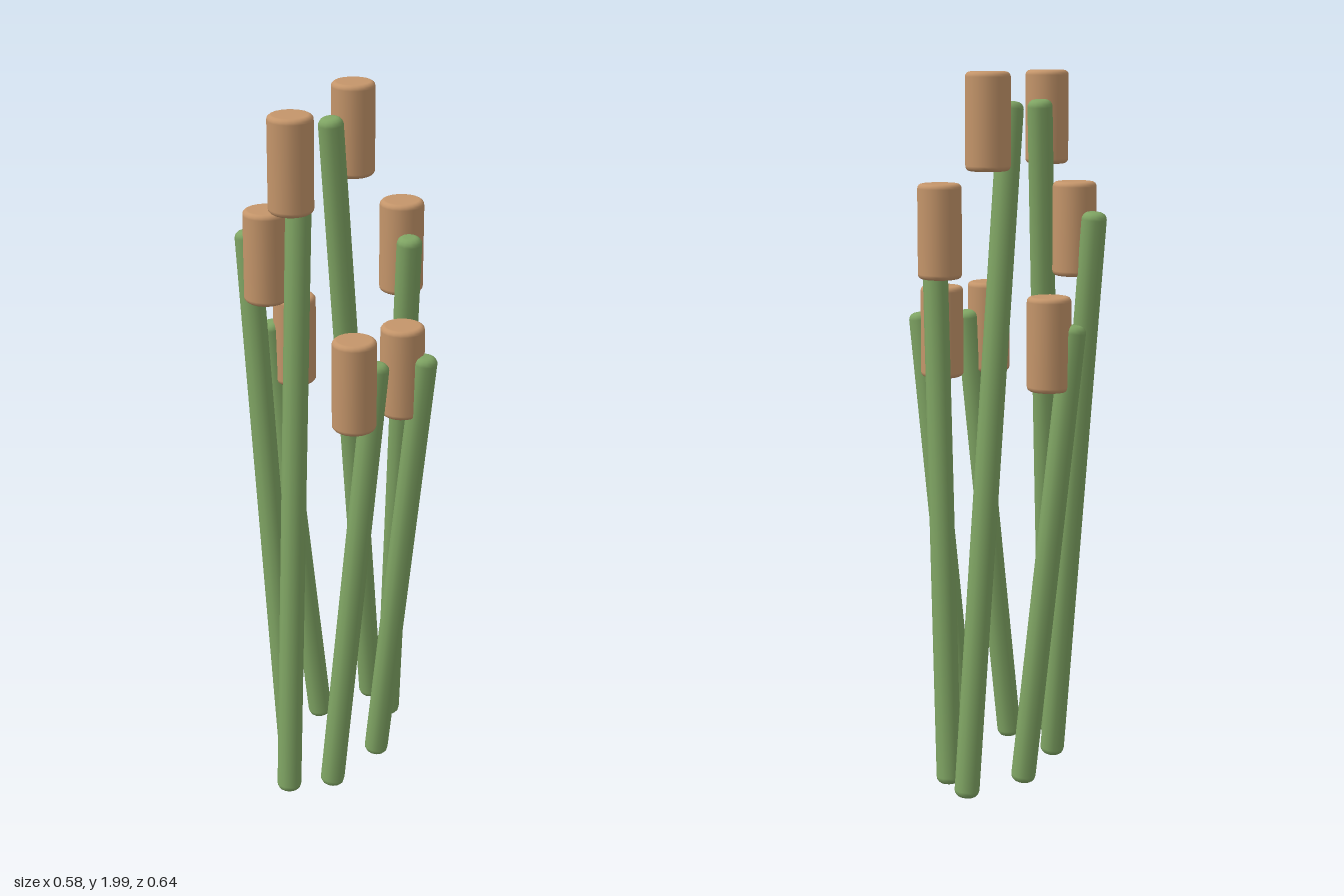
import * as THREE from 'three';

const COUNT = 7;
const RING_RADIUS = 0.195;
const RING_X = -0.008; // centres the uneven ring
const TILT = 0.104;

// Upright cylinder with softly rounded rims, centred on its origin.
function roundedCylinder(radius, height, fillet, sides) {
  const h = height / 2;
  const profile = [new THREE.Vector2(0, -h)];
  for (const end of [-1, 1]) {
    for (let k = 0; k <= 4; k++) {
      const a = (end < 0 ? k - 4 : k) * Math.PI / 8;
      profile.push(new THREE.Vector2(
        radius - fillet + fillet * Math.cos(a),
        end * (h - fillet) + fillet * Math.sin(a)));
    }
  }
  profile.push(new THREE.Vector2(0, h));
  return new THREE.LatheGeometry(profile, sides);
}

export function createModel() {
  const group = new THREE.Group();
  group.name = 'reedCluster';
  const green = new THREE.MeshStandardMaterial({ color: 0x7fa463 });
  const tan = new THREE.MeshStandardMaterial({ color: 0xc4956a });
  const headGeometry = roundedCylinder(0.061, 0.26, 0.014, 20);
  const up = new THREE.Vector3(0, 1, 0);

  for (let i = 0; i < COUNT; i++) {
    const angle = i * 2 * Math.PI / COUNT;
    const c = Math.cos(angle), s = Math.sin(angle);
    const x = RING_X + RING_RADIUS * c;
    const z = -RING_RADIUS * s;
    const rise = (i % 3) * 0.3; // three repeating heights
    const reed = new THREE.Group();
    reed.name = `reed${i + 1}`;

    // Leaning stem, pivoted about its middle
    const stem = new THREE.Mesh(roundedCylinder(0.035, 1.32 + rise * 1.005, 0.02, 12), green);
    stem.name = 'stem';
    stem.position.set(x, 0.664 + rise / 2, z);
    const lean = new THREE.Vector3(c * Math.sin(TILT), Math.cos(TILT), s * Math.sin(TILT));
    stem.quaternion.setFromUnitVectors(up, lean);

    // Upright seed head
    const head = new THREE.Mesh(headGeometry, tan);
    head.name = 'seedHead';
    head.position.set(x, 1.27 + rise, z);

    reed.add(stem, head);
    group.add(reed);
  }
  return group;
}
